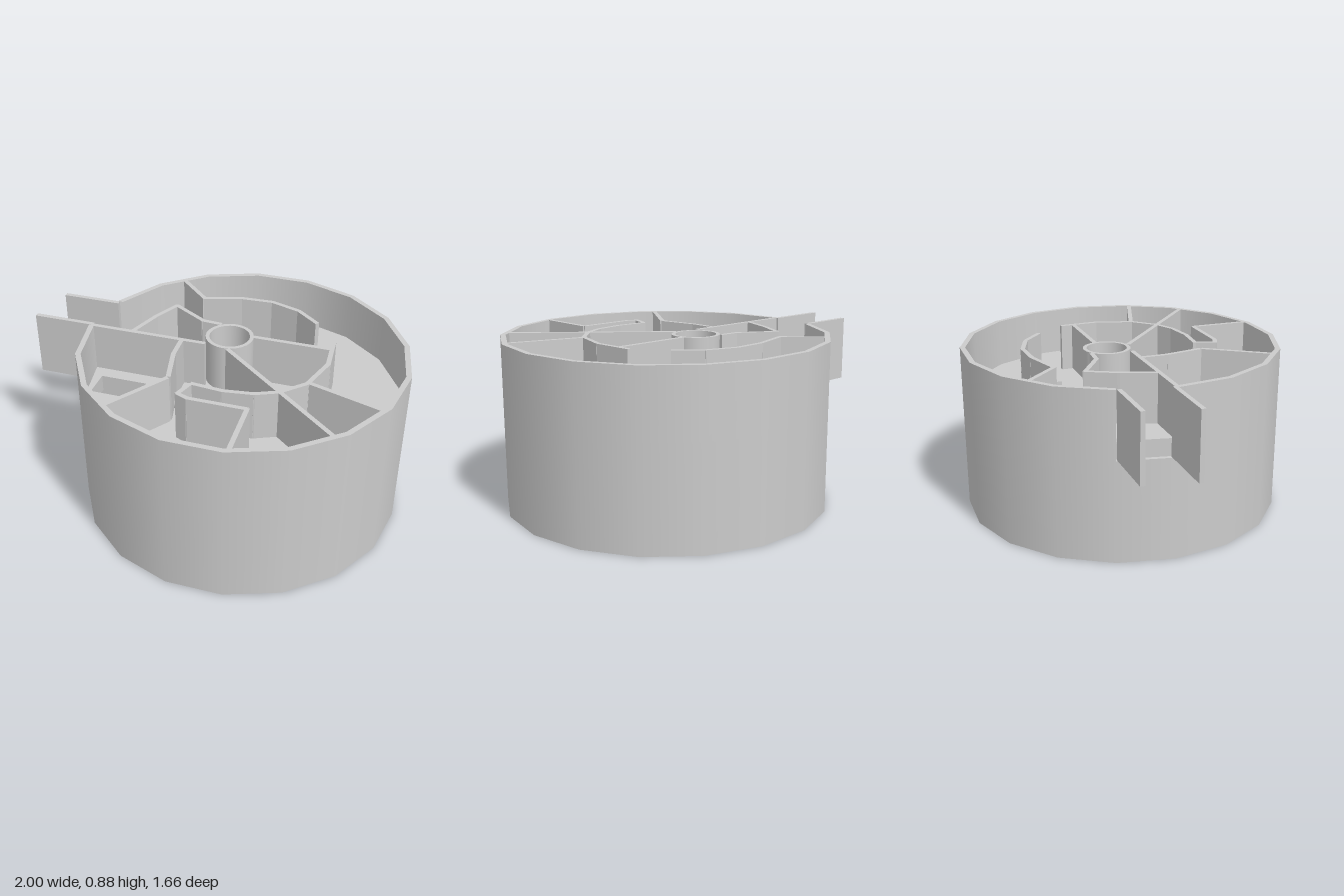
import * as THREE from 'three';

const CX = 0.155, R = 0.845, T = 0.028, TOP = 0.875, UP = 0.62, SLAB = 0.53;
const RAD = Math.PI / 180;

export function createModel() {
  const model = new THREE.Group();
  const mat = new THREE.MeshStandardMaterial({ color: 0xcccccc, side: THREE.DoubleSide });

  function add(name, geo, parent = model) {
    const mesh = new THREE.Mesh(geo, mat);
    mesh.name = name;
    parent.add(mesh);
    return mesh;
  }

  // Horizontal plate from [x, z] outlines
  function plate(name, outline, holes, y0, y1) {
    const flip = (pts) => pts.map(([x, z]) => new THREE.Vector2(x, -z));
    const shape = new THREE.Shape(flip(outline));
    for (const h of holes) shape.holes.push(new THREE.Path(flip(h)));
    const geo = new THREE.ExtrudeGeometry(shape, { depth: y1 - y0, bevelEnabled: false });
    geo.rotateX(-Math.PI / 2).translate(0, y0, 0);
    return add(name, geo);
  }

  // Upright partition following [x, z] points
  function partition(name, pts, y0 = UP, y1 = TOP, thick = 0.024) {
    const g = new THREE.Group();
    g.name = name;
    for (let i = 0; i + 1 < pts.length; i++) {
      const [ax, az] = pts[i], [bx, bz] = pts[i + 1];
      const len = Math.hypot(bx - ax, bz - az);
      const extra = pts.length > 2 ? thick * 0.4 : 0;
      const geo = new THREE.BoxGeometry(len + extra, y1 - y0, thick);
      const m = add(name + 'Panel', geo, g);
      m.position.set((ax + bx) / 2, (y0 + y1) / 2, (az + bz) / 2);
      m.rotation.y = -Math.atan2(bz - az, bx - ax);
    }
    model.add(g);
    return g;
  }

  // Eighteen-sided hollow ring with flat rims
  function ring(name, x, z, rOut, rIn, y0, y1, segs, start, len) {
    const g = new THREE.Group();
    g.name = name;
    g.position.set(x, 0, z);
    for (const r of [rOut, rIn]) {
      const geo = new THREE.CylinderGeometry(r, r, y1 - y0, segs, 1, true, start, len);
      add(name + 'Side', geo.translate(0, (y0 + y1) / 2, 0), g);
    }
    for (const y of [y0, y1]) {
      const geo = new THREE.RingGeometry(rIn, rOut, segs, 1, start - Math.PI / 2, len);
      add(name + 'Rim', geo.rotateX(-Math.PI / 2).translate(0, y, 0), g);
    }
    model.add(g);
  }

  const arc = (r, a0, a1) => {
    const pts = [];
    const n = Math.max(1, Math.round(Math.abs(a1 - a0) / 20));
    for (let i = 0; i <= n; i++) {
      const a = (a0 + ((a1 - a0) * i) / n) * RAD;
      pts.push([CX + r * Math.cos(a), r * Math.sin(a)]);
    }
    return pts;
  };
  const rect = (x0, x1, z0, z1) => [[x0, z0], [x1, z0], [x1, z1], [x0, z1]];

  // Drum wall, with an entrance gap in its upper part
  ring('lowerDrumWall', CX, 0, R, R - T, 0, SLAB, 18, Math.PI / 2, Math.PI * 2);
  ring('upperDrumWall', CX, 0, R, R - T, SLAB, TOP, 17, Math.PI * 1.5, 340 * RAD);
  partition('entranceWallBack', [[-0.945, -0.27], [-0.63, -0.27]], SLAB);
  partition('entranceWallFront', [[-1, -0.015], [-0.67, -0.015]], SLAB);

  // Upper floor with hatches
  const IN = R - T + 0.005;
  const shaft = rect(-0.02, 0.135, -0.185, -0.03);
  plate('upperFloor', arc(IN, 0, 340), [
    rect(-0.6, -0.35, 0.08, 0.23), rect(-0.09, 0.165, 0.59, 0.73),
    rect(0.705, 0.855, -0.02, 0.2), shaft,
  ], SLAB, UP);

  // Lower floor: back half and round middle
  const curve = [[0.575, -0.21], [0.59, 0], [0.53, 0.2], [0.42, 0.31], [0.31, 0.36], [0.16, 0.38], [0, 0.365]];
  const leftCurve = [[-0.125, 0.34], [-0.17, 0.14], [-0.175, 0]];
  const opening = [[0.3, -0.25], [0.11, -0.43], [-0.08, -0.17], [0.06, 0.02]];
  plate('lowerFloor', [...arc(IN, 180, 334), ...curve, ...leftCurve], [opening], 0.14, 0.24);

  // Lower front floor around the middle
  const front = [...curve].slice(2);
  plate('lowerFrontFloor', [...arc(IN, 20, 130), [-0.125, 0.34], ...front.reverse()], [], 0.25, 0.33);

  // Lower storey partitions
  partition('lowerCurvedWall', curve, 0.15, SLAB);
  partition('lowerLeftWall', leftCurve, 0.15, SLAB);
  partition('lowerStraightWall', [[-0.67, -0.005], [-0.17, -0.005]], 0.15, SLAB);
  partition('lowerBackDivider', [[0.575, -0.21], [0.885, -0.35]], 0.15, SLAB);
  partition('lowerRightDivider', [[0.53, 0.19], [0.91, 0.31]], 0.25, SLAB);
  partition('lowerFrontDivider', [[-0.125, 0.35], [-0.33, 0.655]], 0.25, SLAB);

  // Upper storey partitions
  partition('straightWall', [[-0.68, -0.005], [-0.05, -0.005]]);
  partition('curvedWall', curve);
  partition('leftCurvedWall', leftCurve);
  partition('backRoomWall', [[-0.445, -0.015], [-0.385, -0.19], [-0.315, -0.335], [-0.13, -0.222], [-0.03, -0.215]]);
  partition('backCurvedWall', [[-0.37, -0.625], [-0.2, -0.46], [0, -0.52], [0.17, -0.528], [0.33, -0.475], [0.45, -0.375]]);
  partition('hubDivider', [[0.17, -0.14], [0.58, -0.14]]);
  partition('diagonalWall', [[0.075, 0.015], [0.73, 0.57]]);
  partition('rightDivider', [[0.53, 0.19], [0.91, 0.31]]);
  partition('frontLeftDivider', [[-0.125, 0.35], [-0.33, 0.655]]);
  partition('frontRoomWall', [[-0.005, 0.375], [-0.035, 0.465], [0.02, 0.488], [0.313, 0.488], [0.32, 0.81]]);

  // Central shaft
  ring('centralShaft', 0.05, -0.11, 0.125, 0.105, 0.13, TOP, 24, 0, Math.PI * 2);

  // Small stools
  for (const [x, z] of [[-0.015, -0.43], [0.115, -0.365], [0.225, -0.33]]) {
    add('stool', new THREE.BoxGeometry(0.035, 0.05, 0.035)).position.set(x, UP + 0.02, z);
  }

  // Two small bars with flared ends
  function bar(name, ax, az, bx, bz) {
    const len = Math.hypot(bx - ax, bz - az);
    const pts = [[0, 0], [0.024, 0], [0.01, 0.04], [0.01, len - 0.04], [0.024, len], [0, len]];
    const geo = new THREE.LatheGeometry(pts.map(([r, y]) => new THREE.Vector2(r, y)), 6);
    geo.rotateX(Math.PI / 2);
    const m = add(name, geo);
    m.position.set(ax, UP + 0.024, az);
    m.rotation.y = Math.atan2(bx - ax, bz - az);
  }
  bar('longBar', -0.1, 0.08, -0.1, 0.27);
  bar('shortBar', -0.13, 0.24, 0.005, 0.335);

  return model;
}
